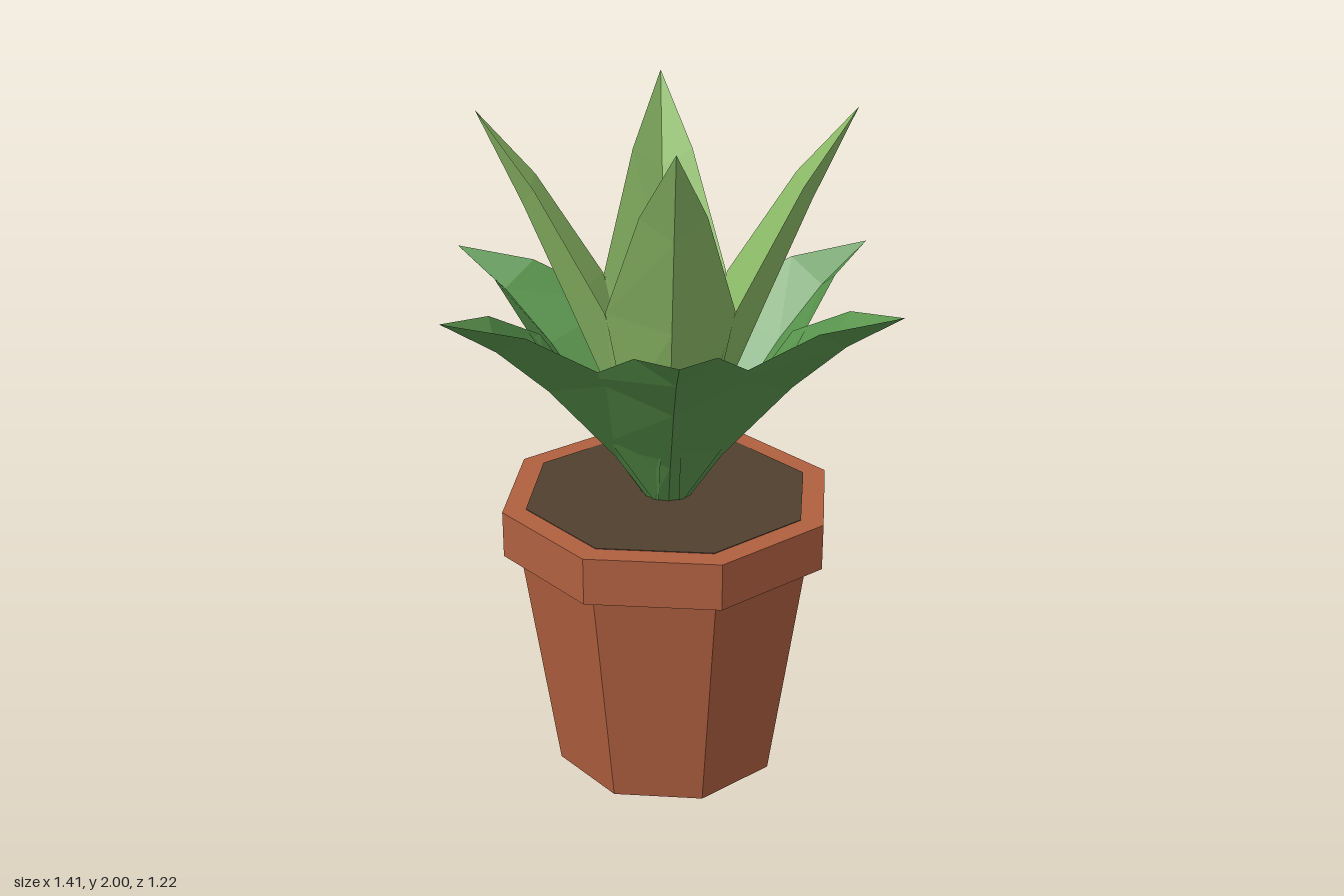
import * as THREE from 'three';

const flat = (name, color, side = THREE.FrontSide) => {
  const m = new THREE.MeshStandardMaterial({ color, flatShading: true, side });
  m.name = name;
  return m;
};

// Leaf growing along +x, folded along a midrib.
// Each row: [midrib x, midrib y, edge x, edge y, half width]
function leafGeometry(rows) {
  const pos = [];
  const section = ([mx, my, ex, ey, w]) => [[ex, ey, w], [mx, my, 0], [ex, ey, -w]];
  for (let i = 0; i < rows.length - 1; i++) {
    const a = section(rows[i]), b = section(rows[i + 1]);
    for (let j = 0; j < 2; j++) {
      pos.push(...a[j], ...a[j + 1], ...b[j + 1]);
      if (i < rows.length - 2) pos.push(...a[j], ...b[j + 1], ...b[j]);
      else pos.splice(-9, 9, ...a[j], ...a[j + 1], ...b[1]); // pointed tip
    }
  }
  const g = new THREE.BufferGeometry();
  g.setAttribute('position', new THREE.Float32BufferAttribute(pos, 3));
  g.computeVertexNormals();
  return g;
}

export function createModel() {
  const model = new THREE.Group();
  model.name = 'pottedPlant';

  const terracotta = flat('terracotta', 0xb06040);
  const soilBrown = flat('soilBrown', 0x51402f);
  const darkGreen = flat('darkGreen', 0x5a964e, THREE.DoubleSide);
  const lightGreen = flat('lightGreen', 0x8fbe69, THREE.DoubleSide);

  // Octagonal pot, rim and soil
  const octagon = (name, rTop, rBottom, y0, y1, material) => {
    const mesh = new THREE.Mesh(new THREE.CylinderGeometry(rTop, rBottom, y1 - y0, 8), material);
    mesh.position.y = (y0 + y1) / 2;
    mesh.name = name;
    model.add(mesh);
  };
  octagon('pot', 0.45, 0.345, 0, 0.72, terracotta);
  octagon('rim', 0.5, 0.5, 0.72, 0.86, terracotta);
  octagon('soil', 0.43, 0.43, 0.857, 0.862, soilBrown);

  // Rings of leaves
  const ring = (name, geometry, material, count, start) => {
    const group = new THREE.Group();
    group.name = name;
    for (let i = 0; i < count; i++) {
      const leaf = new THREE.Mesh(geometry, material);
      leaf.name = name + 'Leaf';
      leaf.rotation.y = start + (i * Math.PI * 2) / count;
      group.add(leaf);
    }
    model.add(group);
  };

  const outerLeaf = leafGeometry([
    [0.07, 0.855, 0.06, 0.86, 0.045],
    [0.175, 1.01, 0.13, 1.08, 0.17],
    [0.39, 1.26, 0.285, 1.335, 0.235],
    [0.545, 1.405, 0.51, 1.47, 0.108],
    [0.707, 1.515, 0.707, 1.515, 0],
  ]);
  ring('outer', outerLeaf, darkGreen, 6, 0);

  const innerLeaf = leafGeometry([
    [0.06, 0.855, 0.05, 0.86, 0.04],
    [0.15, 1.13, 0.10, 1.16, 0.125],
    [0.28, 1.45, 0.18, 1.48, 0.178],
    [0.40, 1.74, 0.365, 1.80, 0.088],
    [0.52, 2.0, 0.52, 2.0, 0],
  ]);
  ring('inner', innerLeaf, lightGreen, 4, Math.PI / 6);

  return model;
}
